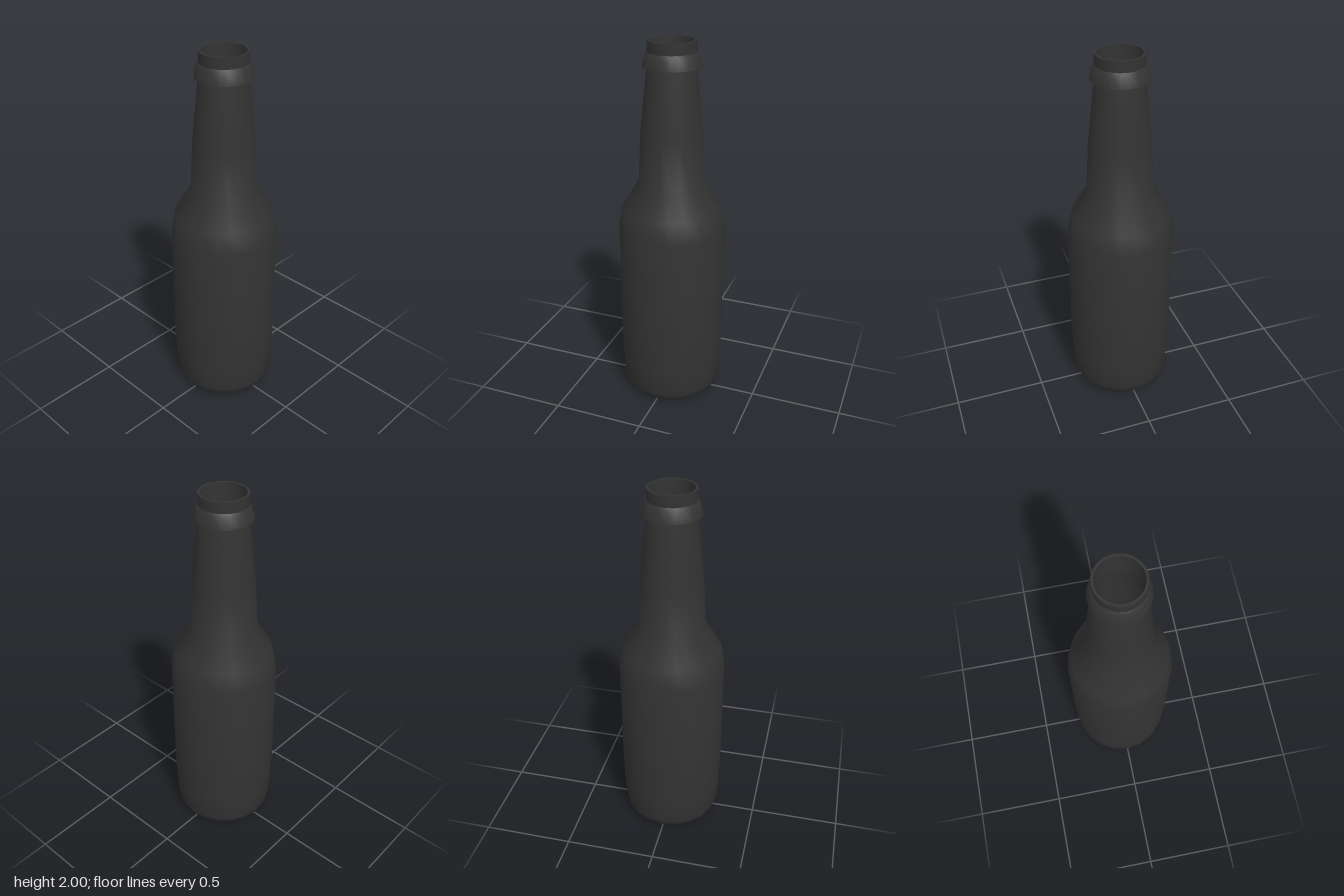
import * as THREE from 'three';
import { toCreasedNormals } from 'three/addons/utils/BufferGeometryUtils.js';

const SIDES = 20;

export function createModel() {
  const bottle = new THREE.Group();
  bottle.name = 'bottle';
  const glass = new THREE.MeshStandardMaterial({ color: 0x333333 });

  // Turns a [radius, height] profile; runs upward for outside faces, downward for inside faces
  function turn(name, profile) {
    const points = profile.map(([r, y]) => new THREE.Vector2(r, y));
    const geometry = toCreasedNormals(new THREE.LatheGeometry(points, SIDES), 0.7);
    const mesh = new THREE.Mesh(geometry, glass);
    mesh.name = name;
    bottle.add(mesh);
  }

  // Hollowed base, rounded heel, straight wall, shoulder and tapering neck
  turn('body', [
    [0, 0.055], [0.1, 0.05], [0.16, 0.03], [0.195, 0.004], [0.215, 0],
    [0.24, 0.007], [0.262, 0.025], [0.274, 0.06], [0.284, 0.2], [0.288, 0.36],
    [0.288, 1.0], [0.266, 1.11], [0.178, 1.255], [0.165, 1.52], [0.128, 1.87],
  ]);

  // Flared ring below the mouth with a flat underside
  turn('collar', [
    [0.124, 1.868], [0.151, 1.868], [0.136, 1.93], [0.126, 1.942],
  ]);

  // Mouth with a flat rim
  turn('mouth', [
    [0.126, 1.93], [0.127, 2.0], [0.114, 2.0], [0.113, 1.87],
  ]);

  // Inner wall following the outside down to the floor
  turn('interior', [
    [0.113, 1.87], [0.15, 1.52], [0.163, 1.255], [0.25, 1.1], [0.273, 1.0],
    [0.273, 0.36], [0.262, 0.1], [0.22, 0.04], [0.16, 0.05], [0, 0.075],
  ]);

  return bottle;
}
